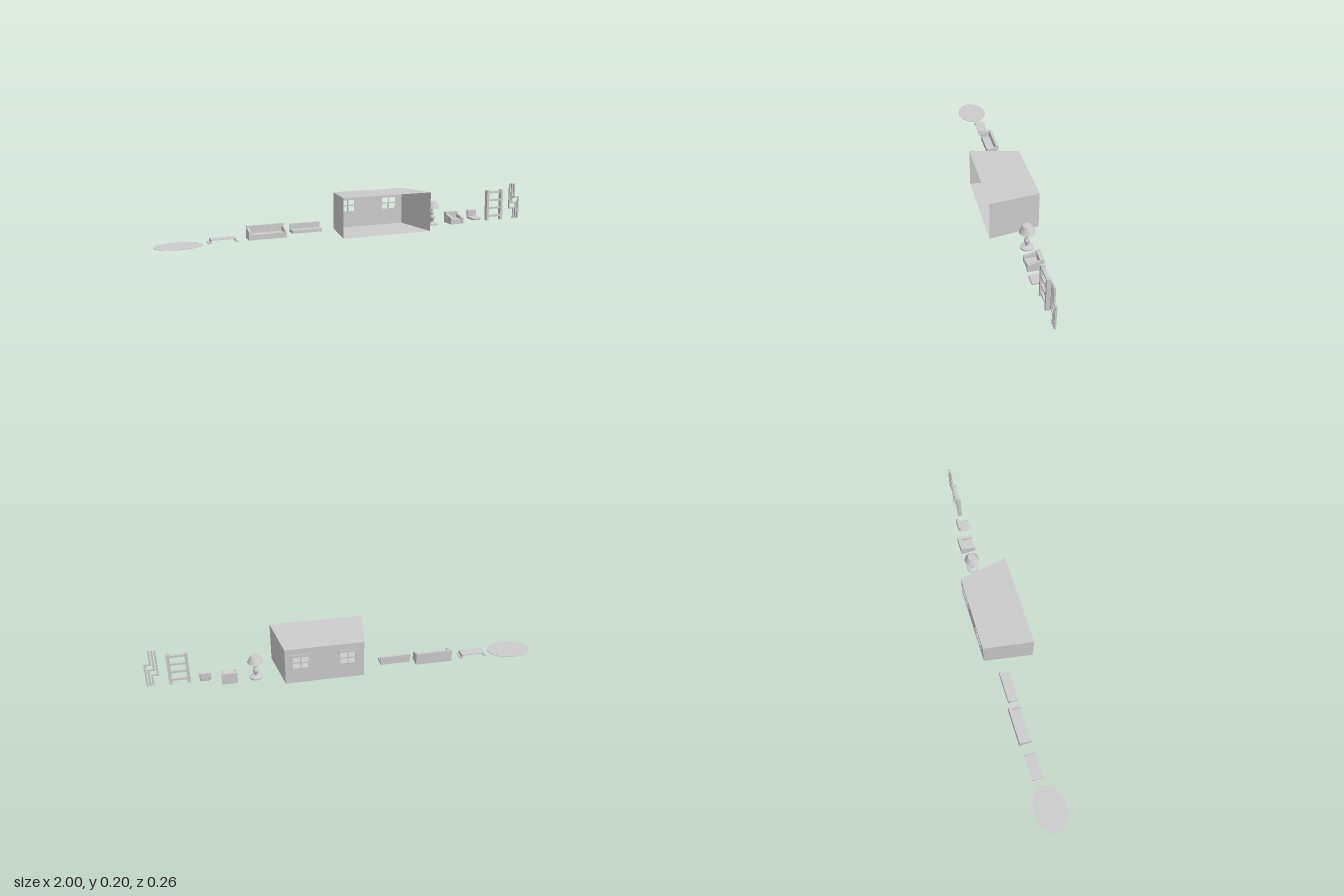
import * as THREE from 'three';
import { RoundedBoxGeometry } from 'three/addons/geometries/RoundedBoxGeometry.js';

const mat = new THREE.MeshStandardMaterial({ color: 0xcccccc, flatShading: true });
const smooth = new THREE.MeshStandardMaterial({ color: 0xcccccc, side: THREE.DoubleSide });
const thin = new THREE.MeshStandardMaterial({ color: 0xcccccc, flatShading: true, side: THREE.DoubleSide });

function add(parent, name, geometry, material = mat) {
  const mesh = new THREE.Mesh(geometry, material);
  mesh.name = name;
  parent.add(mesh);
  return mesh;
}

// Box given by its extents on each axis; r > 0 rounds the edges
function box(parent, name, [x0, x1], [y0, y1], [z0, z1], r = 0) {
  const s = [x1 - x0, y1 - y0, z1 - z0];
  const g = r ? new RoundedBoxGeometry(...s, 3, r) : new THREE.BoxGeometry(...s);
  g.translate((x0 + x1) / 2, (y0 + y1) / 2, (z0 + z1) / 2);
  return add(parent, name, g, r ? smooth : mat);
}

function group(parent, name) {
  const g = new THREE.Group();
  g.name = name;
  parent.add(g);
  return g;
}

function polygon(points) {
  return new THREE.Shape(points.map(([x, y]) => new THREE.Vector2(x, y)));
}

// Flat four-cornered panel
function panel(parent, name, corners) {
  const g = new THREE.BufferGeometry();
  g.setAttribute('position', new THREE.Float32BufferAttribute(corners.flat(), 3));
  g.setIndex([0, 1, 2, 0, 2, 3]);
  g.computeVertexNormals();
  return add(parent, name, g, thin);
}

// Upholstered seat with a tall back and two sloping arms
function armSeat(parent, name, [x0, x1], [z0, z1], o) {
  const g = group(parent, name);
  box(g, 'base', [x0 + o.arm, x1 - o.arm], [0, o.seat], [z0 + o.back, z1 - 0.003]);
  box(g, 'backrest', [x0, x1], [0, o.top], [z0, z0 + o.back]);
  const side = polygon([[z0 + o.back, 0], [z1, 0], [z1, o.armFront - 0.005],
    [z1 - 0.005, o.armFront], [z0 + o.back, o.armBack]]);
  for (const x of [x0, x1 - o.arm]) {
    const geo = new THREE.ExtrudeGeometry(side, { depth: o.arm, bevelEnabled: false });
    geo.rotateY(-Math.PI / 2).translate(x + o.arm, 0, 0);
    add(g, 'armrest', geo);
  }
}

// Open-fronted room that narrows towards the back wall
function buildRoom(parent) {
  const room = group(parent, 'room');
  const zf = 0.128, zb = -0.124, y0 = 0.003, yf = 0.205, yb = 0.195;
  const f = [-0.113, 0.368], b = [-0.07, 0.326];
  panel(room, 'floor', [[f[0], y0, zf], [f[1], y0, zf], [b[1], y0, zb], [b[0], y0, zb]]);
  panel(room, 'ceiling', [[f[0], yf, zf], [f[1], yf, zf], [b[1], yb, zb], [b[0], yb, zb]]);
  for (const i of [0, 1]) {
    panel(room, 'sideWall', [[f[i], y0, zf], [b[i], y0, zb], [b[i], yb, zb], [f[i], yf, zf]]);
  }

  // Back wall with two openings
  const wall = polygon([[b[0], y0], [b[1], y0], [b[1], yb], [b[0], yb]]);
  const w = 0.043, lo = 0.086, hi = 0.15;
  const centres = [0.012, 0.248];
  for (const c of centres) {
    wall.holes.push(polygon([[c - w, lo], [c - w, hi], [c + w, hi], [c + w, lo]]));
  }
  add(room, 'backWall', new THREE.ShapeGeometry(wall).translate(0, 0, zb), thin);

  // Window frames with crossed glazing bars
  for (const c of centres) {
    const win = group(room, 'window');
    const z = [-0.128, zb];
    for (const s of [-1, 1]) {
      box(win, 'jamb', [c + s * 0.044 - 0.005, c + s * 0.044 + 0.005], [0.08, 0.162], z);
    }
    box(win, 'sill', [c - 0.039, c + 0.039], [0.08, 0.088], z);
    box(win, 'lintel', [c - 0.039, c + 0.039], [0.148, 0.162], z);
    box(win, 'mullion', [c - 0.003, c + 0.003], [0.088, 0.148], z);
    box(win, 'crossbar', [c - 0.039, c + 0.039], [0.115, 0.121], z);
  }
}

function buildLamp(parent) {
  const lamp = group(parent, 'lamp');
  lamp.position.set(0.464, 0, -0.029);
  const lathe = (name, pts) => add(lamp, name,
    new THREE.LatheGeometry(pts.map(([r, y]) => new THREE.Vector2(r, y)), 32), thin);
  lathe('base', [[0, 0], [0.032, 0], [0.032, 0.007], [0.022, 0.01], [0.012, 0.013], [0, 0.013]]);
  lathe('stem', [[0.009, 0.012], [0.008, 0.022], [0.013, 0.032], [0.015, 0.042], [0.012, 0.051],
    [0.007, 0.057], [0.01, 0.062], [0.006, 0.075], [0.005, 0.12], [0, 0.12]]);
  lathe('shade', [[0.039, 0.091], [0.021, 0.126]]);
  const cap = add(lamp, 'shadeTop', new THREE.CircleGeometry(0.021, 32), thin);
  cap.rotation.x = -Math.PI / 2;
  cap.position.y = 0.126;
}

export function createModel() {
  const model = new THREE.Group();
  model.name = 'roomSet';

  // Oval rug
  const rug = add(model, 'rug', new THREE.CylinderGeometry(1, 1, 0.002, 64));
  rug.scale.set(0.115, 1, 0.08);
  rug.position.set(-0.885, 0.001, -0.031);

  // Low table bent from one board, with feet turned outwards
  const half = [[0.073, 0], [0.073, 0.004], [0.062, 0.006], [0.06, 0.02]];
  const inner = [[0.055, 0.016], [0.057, 0.003], [0.061, 0]];
  const mirror = pts => pts.map(([x, y]) => [-x, y]).reverse();
  const table = polygon([...half, ...mirror(half), ...mirror(inner), ...inner]);
  add(model, 'lowTable', new THREE.ExtrudeGeometry(table, { depth: 0.053, bevelEnabled: false })
    .translate(-0.672, 0, -0.071));

  // Sofa and matching armchair
  armSeat(model, 'sofa', [-0.548, -0.357], [-0.082, -0.02],
    { arm: 0.012, back: 0.015, seat: 0.026, top: 0.063, armFront: 0.045, armBack: 0.055 });
  armSeat(model, 'armchair', [0.557, 0.635], [-0.064, 0.014],
    { arm: 0.014, back: 0.02, seat: 0.026, top: 0.058, armFront: 0.036, armBack: 0.05 });

  // Bench
  const bench = group(model, 'bench');
  box(bench, 'benchSeat', [-0.327, -0.17], [0.016, 0.032], [-0.058, -0.02]);
  box(bench, 'benchBack', [-0.327, -0.17], [0.016, 0.059], [-0.071, -0.058]);

  buildRoom(model);
  buildLamp(model);

  // Small cushioned chair
  const chair = group(model, 'smallChair');
  box(chair, 'chairSeat', [0.684, 0.74], [0.016, 0.03], [-0.04, 0.024], 0.006);
  box(chair, 'chairBack', [0.684, 0.74], [0.025, 0.066], [-0.043, -0.027], 0.007);

  // Ladder
  const ladder = group(model, 'ladder');
  for (const x of [0.787, 0.876]) {
    box(ladder, 'rail', [x, x + 0.014], [0.003, 0.172], [-0.017, 0.004]);
  }
  for (let i = 0; i < 4; i++) {
    const y = 0.022 + i * 0.044;
    box(ladder, 'rung', [0.801, 0.876], [y, y + 0.01], [-0.014, 0.001]);
  }

  // Three nested pipes with a sideways jog
  const pipes = group(model, 'pipes');
  const r = 0.004;
  for (let i = 0; i < 3; i++) {
    const x = 0.939 + i * 0.0145, x2 = x + 0.028, y = 0.062 + i * 0.03;
    const z = [-0.005 - r, -0.005 + r];
    box(pipes, 'upperPipe', [x - r, x + r], [y - r, 0.2], z);
    box(pipes, 'pipeJog', [x + r, x2 - r], [y - r, y + r], z);
    box(pipes, 'lowerPipe', [x2 - r, x2 + r], [0.003, y + r], z);
  }
  return model;
}
